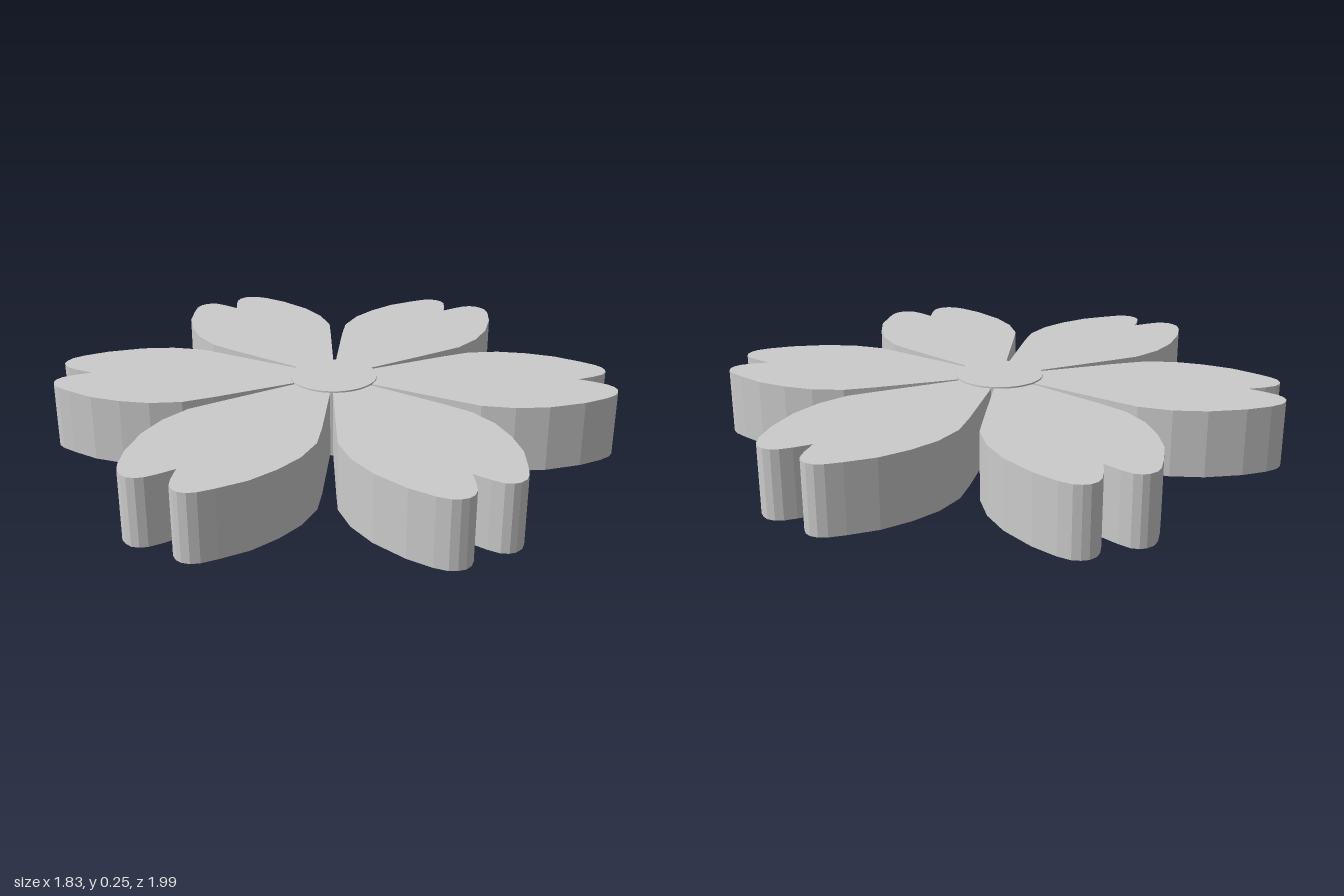
import * as THREE from 'three';

const TOTAL_HEIGHT = 0.245;
const PETAL_HEIGHT = 0.234;

// Outline of one notched petal: [sideways, outward from the flower's centre]
const PETAL_OUTLINE = [
  [0, 0], [0.075, 0.135], [0.215, 0.4], [0.262, 0.5], [0.277, 0.61], [0.265, 0.715],
  [0.235, 0.82], [0.185, 0.91], [0.155, 0.956], [0.132, 0.977], [0.105, 0.985],
  [0.083, 0.982], [0.06, 0.968], [0.037, 0.932],
  [0.01, 0.875], // notch
  [-0.015, 0.932], [-0.035, 0.968], [-0.055, 0.987], [-0.08, 0.996], [-0.105, 0.992],
  [-0.13, 0.98], [-0.16, 0.945], [-0.205, 0.865], [-0.248, 0.74], [-0.261, 0.625],
  [-0.246, 0.51], [-0.2, 0.41], [-0.07, 0.135],
];

export function createModel() {
  const flower = new THREE.Group();
  flower.name = 'flower';
  const material = new THREE.MeshStandardMaterial({ color: 0xcccccc });

  // Petals: one upright-walled extrusion repeated every 60 degrees
  const shape = new THREE.Shape(PETAL_OUTLINE.map(([x, y]) => new THREE.Vector2(x, y)));
  const petalGeometry = new THREE.ExtrudeGeometry(shape, { depth: PETAL_HEIGHT, bevelEnabled: false });
  petalGeometry.rotateX(Math.PI / 2);
  petalGeometry.translate(0, (TOTAL_HEIGHT + PETAL_HEIGHT) / 2, 0);
  for (let i = 0; i < 6; i++) {
    const petal = new THREE.Mesh(petalGeometry, material);
    petal.name = `petal${i + 1}`;
    petal.rotation.y = (i * Math.PI) / 3;
    petal.position.set(-0.003, 0, -0.002);
    flower.add(petal);
  }

  // Centre disc, slightly proud of the petals above and below
  const disc = new THREE.Mesh(new THREE.CylinderGeometry(0.155, 0.155, TOTAL_HEIGHT, 48), material);
  disc.name = 'centreDisc';
  disc.position.y = TOTAL_HEIGHT / 2;
  flower.add(disc);

  return flower;
}
